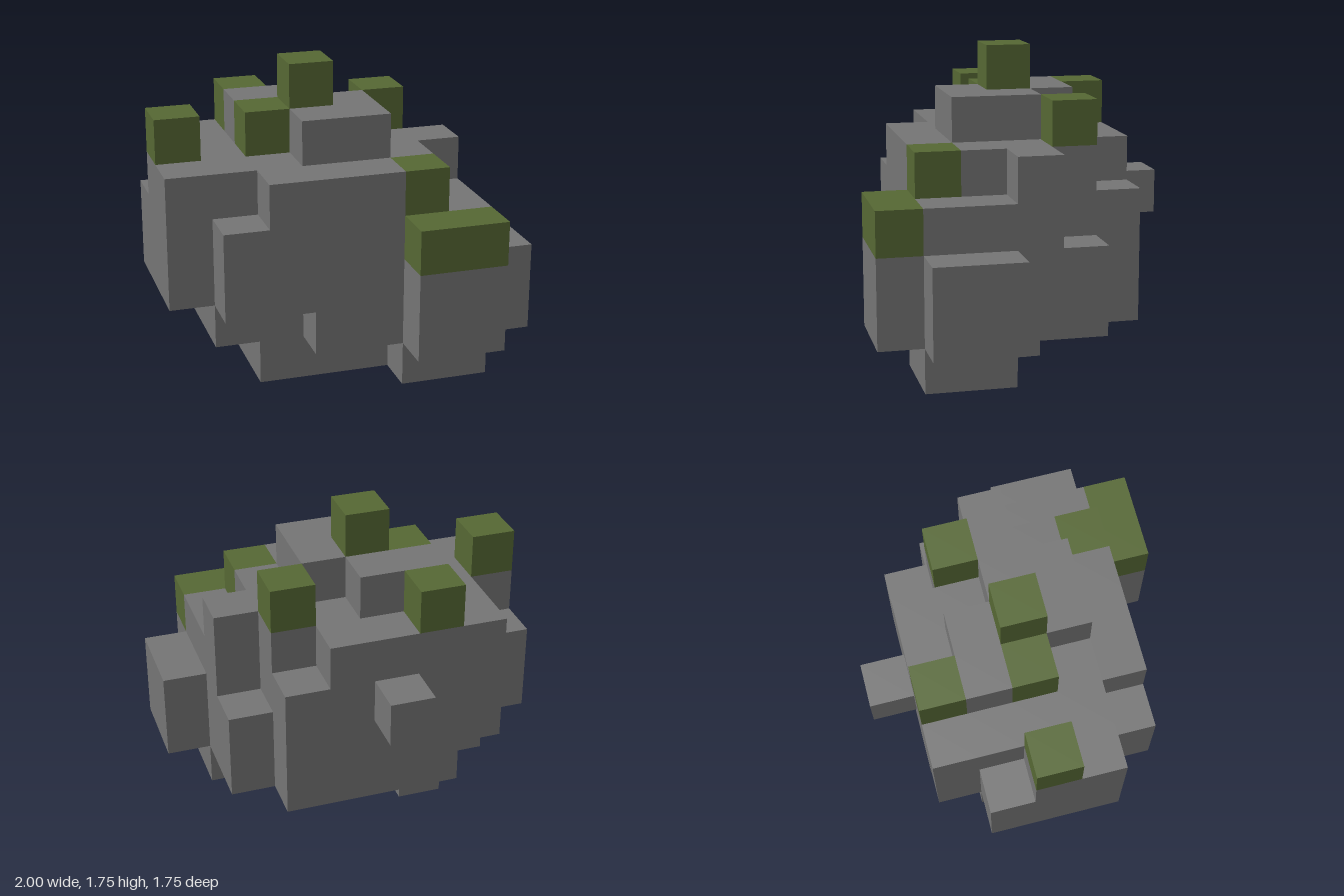
import * as THREE from 'three';
import { mergeGeometries } from 'three/addons/utils/BufferGeometryUtils.js';

const CELL = 0.25;

// Layers from bottom to top; each lists its rows from back (-z) to front (+z),
// each row runs from -x to +x. s = stone, m = moss, . = empty
const LAYERS = [
  ['........', '........', '..s.....', '..sss...', '..sssss.', '.....ss.', '........'],
  ['........', '..ssss..', '.ssssss.', '.ssssss.', '.sssssss', '...sssss', '.....ss.'],
  ['........', '.sssss..', 'sssssss.', 'sssssss.', 'ssssssss', '.sssssss', '.....ss.'],
  ['...s....', '.sssss..', 'ssssss..', 'sssssss.', 'sssssss.', '.ssssss.', '.....mm.'],
  ['........', '.ssss...', '.sssss..', 'sssssss.', 'ssssss..', '..sssm..', '........'],
  ['........', '..m.....', '..ss.m..', 'm.mss...', '...ss...', '........', '........'],
  ['........', '........', '........', '...m....', '........', '........', '........'],
];

const cellAt = (i, j, k) => LAYERS[j]?.[k]?.[i] ?? '.';

// One square per side: direction to the neighbour and the rotation of the square
const SIDES = [
  { d: [1, 0, 0], r: [0, Math.PI / 2] },
  { d: [-1, 0, 0], r: [0, -Math.PI / 2] },
  { d: [0, 1, 0], r: [-Math.PI / 2, 0] },
  { d: [0, -1, 0], r: [Math.PI / 2, 0] },
  { d: [0, 0, 1], r: [0, 0] },
  { d: [0, 0, -1], r: [0, Math.PI] },
];

// Joins the exposed sides of all blocks of one kind into a single shell
function blockShell(kind) {
  const faces = [];
  LAYERS.forEach((rows, j) => rows.forEach((row, k) => [...row].forEach((c, i) => {
    if (c !== kind) return;
    for (const { d, r } of SIDES) {
      if (cellAt(i + d[0], j + d[1], k + d[2]) !== '.') continue;
      const face = new THREE.PlaneGeometry(CELL, CELL);
      face.rotateX(r[0]).rotateY(r[1]);
      face.translate(
        (i - 3.5 + d[0] / 2) * CELL,
        (j + 0.5 + d[1] / 2) * CELL,
        (k - 3 + d[2] / 2) * CELL,
      );
      faces.push(face);
    }
  })));
  return mergeGeometries(faces);
}

export function createModel() {
  const stone = new THREE.MeshStandardMaterial({ color: 0x757575 });
  stone.name = 'stone grey';
  const moss = new THREE.MeshStandardMaterial({ color: 0x566834 });
  moss.name = 'moss green';

  const group = new THREE.Group();
  group.name = 'mossyBoulder';

  // Boulder body
  const boulder = new THREE.Mesh(blockShell('s'), stone);
  boulder.name = 'boulder';

  // Moss blocks on the upper ledges
  const mossPatches = new THREE.Mesh(blockShell('m'), moss);
  mossPatches.name = 'mossPatches';

  group.add(boulder, mossPatches);
  return group;
}
